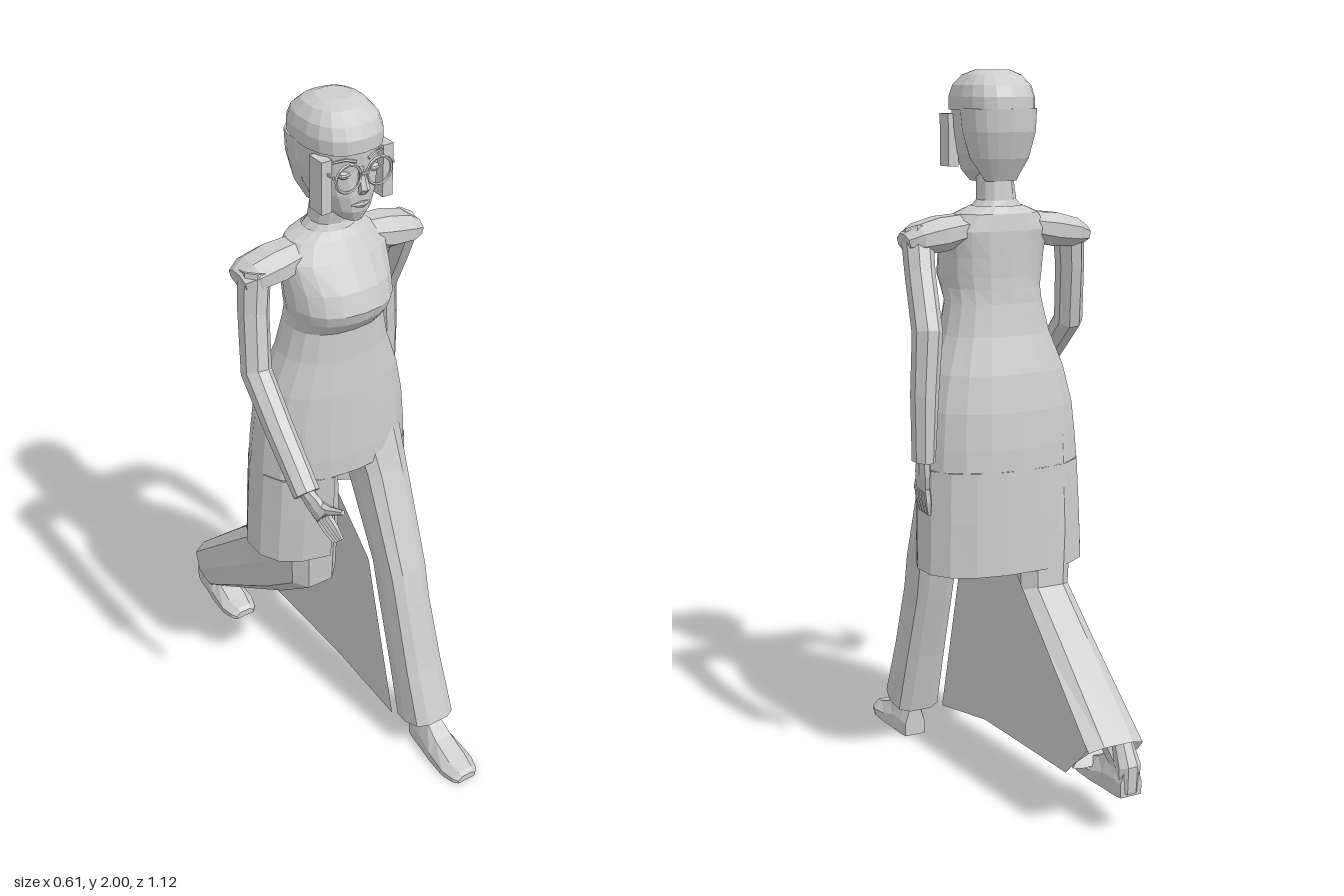
import * as THREE from 'three';

const V = (x, y, z) => new THREE.Vector3(x, y, z);
const grey = new THREE.MeshStandardMaterial({ color: 0xcccccc, flatShading: true, side: THREE.DoubleSide });
grey.name = 'light grey';

// Facetted mesh from a flat list of triangle corners
function facets(name, tris) {
  const g = new THREE.BufferGeometry().setFromPoints(tris);
  g.computeVertexNormals();
  const m = new THREE.Mesh(g, grey);
  m.name = name;
  return m;
}

// Skin a list of rings; closed rings can be capped at both ends
function loft(name, rings, { closed = true, caps = true } = {}) {
  const t = [], n = rings[0].length;
  for (let i = 0; i + 1 < rings.length; i++) {
    for (let j = 0; j < (closed ? n : n - 1); j++) {
      const k = (j + 1) % n, a = rings[i], b = rings[i + 1];
      t.push(a[j], a[k], b[k], a[j], b[k], b[j]);
    }
  }
  if (closed && caps) {
    [rings[0], rings[rings.length - 1]].forEach((r, e) => {
      const c = r.reduce((s, p) => s.add(p), V(0, 0, 0)).divideScalar(n);
      for (let j = 0; j < n; j++) {
        const k = (j + 1) % n;
        if (e) t.push(r[j], r[k], c); else t.push(r[k], r[j], c);
      }
    });
  }
  // turn the faces outward
  const o = rings[0][0];
  let vol = 0;
  for (let i = 0; i < t.length; i += 3) {
    const [a, b, c] = [0, 1, 2].map(q => t[i + q].clone().sub(o));
    vol += a.dot(b.cross(c));
  }
  if (vol < 0) for (let i = 0; i < t.length; i += 3) [t[i], t[i + 1]] = [t[i + 1], t[i]];
  return facets(name, t);
}

const pw = (v, e) => Math.sign(v) * Math.abs(v) ** e;

// Level body ring: height, half width, front z, back z; angle 0 faces the front
function ring([y, w, zf, zb], n = 18, e = 0.9, from = 0, to = 2 * Math.PI) {
  const full = to - from > 6.28, pts = [];
  for (let i = 0; i < (full ? n : n + 1); i++) {
    const a = from + (to - from) * i / n;
    pts.push(V(w * pw(Math.sin(a), e), y, (zf + zb) / 2 + (zf - zb) / 2 * pw(Math.cos(a), e)));
  }
  return pts;
}

// Trouser ring: x range, front [y, z], back [y, z]
function legRing([x0, x1, f, b], n = 10) {
  return Array.from({ length: n }, (_, i) => {
    const a = (i + 0.5) / n * 2 * Math.PI, k = (1 + pw(Math.cos(a), 0.65)) / 2;
    return V((x0 + x1) / 2 + (x1 - x0) / 2 * pw(Math.sin(a), 0.65),
      b[0] + (f[0] - b[0]) * k, b[1] + (f[1] - b[1]) * k);
  });
}

// Limb along points [x, y, z, radius across x, other radius]
function limb(name, pts, n = 8, ref = V(1, 0, 0)) {
  const p = pts.map(q => V(q[0], q[1], q[2]));
  return loft(name, p.map((c, i) => {
    const t = p[Math.min(i + 1, p.length - 1)].clone().sub(p[Math.max(i - 1, 0)]).normalize();
    const u = ref.clone().addScaledVector(t, -ref.dot(t)).normalize();
    const v = t.clone().cross(u);
    return Array.from({ length: n }, (_, j) => {
      const a = (j + 0.5) / n * 2 * Math.PI;
      return c.clone().addScaledVector(u, pts[i][3] * Math.cos(a))
        .addScaledVector(v, (pts[i][4] ?? pts[i][3]) * Math.sin(a));
    });
  }));
}

function put(name, geometry, x, y, z) {
  const m = new THREE.Mesh(geometry, grey);
  m.name = name;
  m.position.set(x, y, z);
  return m;
}

function makeHead() {
  const g = new THREE.Group();
  g.name = 'head';
  g.add(loft('face', [[1.705, .03, .135, .01], [1.735, .062, .148, -.045], [1.78, .083, .15, -.075],
    [1.84, .096, .146, -.098], [1.9, .1, .15, -.1], [1.95, .09, .13, -.08]].map(r => ring(r))));
  g.add(loft('hair', [[1.895, .103, .157, -.105], [1.93, .104, .156, -.103], [1.96, .096, .14, -.088],
    [1.987, .074, .105, -.055], [2, .045, .065, -.02]].map(r => ring(r, 18, .8))));
  g.add(loft('backHair', [[1.71, .045, -.01, -.05], [1.77, .082, .04, -.082], [1.84, .1, .07, -.103],
    [1.9, .104, .08, -.106]].map(r => ring(r))));
  g.add(loft('neck', [[1.6, .1, .075, -.075], [1.635, .075, .06, -.065], [1.66, .053, .05, -.055],
    [1.74, .045, .065, -.045]].map(r => ring(r, 12))));
  // nose and mouth
  g.add(limb('nose', [[0, 1.855, .143, .008], [0, 1.8, .16, .015, .014], [0, 1.788, .152, .013, .008]], 6));
  g.add(limb('lips', [[-.026, 1.755, .143, .003], [0, 1.757, .152, .009], [.026, 1.755, .143, .003]], 6, V(0, 1, 0)));
  for (const s of [-1, 1]) {
    const eye = put('eye', new THREE.SphereGeometry(.015, 8, 6), s * .043, 1.838, .132);
    eye.scale.set(1.2, .7, 1);
    g.add(eye);
    g.add(limb('brow', [[s * .018, 1.874, .15, .004], [s * .045, 1.882, .143, .004], [s * .075, 1.872, .122, .003]], 5, V(0, 1, 0)));
    // glasses
    g.add(put('glassesRim', new THREE.TorusGeometry(.036, .004, 5, 16), s * .045, 1.838, .157));
    g.add(put('glassesArm', new THREE.BoxGeometry(.005, .007, .09), s * .087, 1.85, .112));
    g.add(put('sideLock', new THREE.BoxGeometry(.03, .14, .055), s * .09, 1.815, .103));
  }
  g.add(put('glassesBridge', new THREE.BoxGeometry(.022, .006, .006), 0, 1.845, .162));
  return g;
}

// Hand from wrist to knuckles with four fingers and a thumb
function makeHand(name, w, k, tip, spread, thumb) {
  const g = new THREE.Group();
  g.name = name;
  g.add(limb('palm', [[...w, .018, .022], [...w.map((c, i) => (c + k[i]) / 2), .018, .036], [...k, .014, .036]], 8));
  for (let i = 0; i < 4; i++) {
    const o = i - 1.5, at = (p, f) => p.map((c, j) => c + spread[j] * o * f);
    const end = at(tip, .8);
    const mid = at(k.map((c, j) => (c + tip[j]) / 2), 1);
    g.add(limb('finger', [[...at(k, 1), .01], [...mid, .01], [...end, .006]], 5));
  }
  g.add(limb('thumb', [[...w.map((c, i) => c * .6 + k[i] * .4), .014], [...thumb.map((c, i) => (c + w[i] * .3 + k[i] * .7) / 2), .013], [...thumb, .007]], 6));
  return g;
}

function makeShoe(name, x, dy, dz) {
  const prof = [[.312, .032, .085], [.34, .038, .105], [.39, .043, .1], [.44, .05, .068], [.51, .053, .042], [.55, .042, .032], [.562, .03, .022]];
  return loft(name, prof.map(([z, w, h]) =>
    [[-1, 0], [1, 0], [1.02, .45], [.55, 1], [-.55, 1], [-1.02, .45]].map(([a, b]) => V(x + a * w, dy + b * h, z + dz))));
}

export function createModel() {
  const model = new THREE.Group();
  model.name = 'walkingWoman';
  model.add(makeHead());

  // Tunic: fitted top, then a skirt with a wide front opening
  model.add(loft('tunicTop', [[1.645, .07, .058, -.065], [1.625, .12, .075, -.078], [1.58, .155, .105, -.085],
    [1.51, .148, .152, -.085], [1.455, .145, .172, -.085], [1.425, .138, .162, -.087], [1.385, .138, .128, -.09],
    [1.3, .158, .13, -.105], [1.2, .197, .138, -.135], [1.1, .22, .143, -.155], [1, .23, .147, -.165],
    [.94, .234, .147, -.168]].map(r => ring(r)), { caps: false }));
  model.add(loft('tunicSkirt', [[.94, .234, .147, -.168], [.8, .241, .14, -.173], [.65, .246, .13, -.176]]
    .map(r => ring(r, 14, .85, .72, 2 * Math.PI - .25)), { closed: false }));

  // Cap sleeves
  for (const s of [-1, 1]) {
    model.add(limb('capSleeve', [[s * .07, 1.59, 0, .04, .055], [s * .17, 1.573, 0, .05, .07],
      [s * .235, 1.563, 0, .042, .066], [s * .272, 1.555, 0, .025, .045]], 8, V(0, 1, 0)));
  }

  // Arms: left hangs back, right swings forward
  model.add(limb('leftArm', [[.23, 1.58, .01, .042, .05], [.245, 1.47, -.045, .04, .045], [.262, 1.33, -.125, .04, .045],
    [.275, 1.17, -.132, .037, .042], [.28, .99, -.133, .03, .041]]));
  model.add(makeHand('leftHand', [.277, 1, -.125], [.268, .91, -.095], [.262, .838, -.1], [0, 0, .021], [.262, .895, -.04]));
  model.add(limb('rightArm', [[-.23, 1.58, .01, .042, .05], [-.245, 1.47, .025, .04, .045], [-.262, 1.31, .06, .04, .046],
    [-.27, 1.2, .185, .038, .041], [-.272, 1.08, .315, .036, .034]]));
  model.add(makeHand('rightHand', [-.272, 1.085, .31], [-.262, 1.04, .375], [-.245, .985, .42], [0, .012, .012], [-.245, 1.09, .44]));

  // Wide trousers in mid stride
  model.add(loft('leftTrouser', [[.01, .18, [1.02, .125], [1.02, -.06]], [.03, .18, [.9, .165], [.88, 0]],
    [.04, .175, [.6, .275], [.6, .14]], [.04, .17, [.5, .307], [.48, .175]], [.04, .178, [.3, .365], [.28, .235]],
    [.04, .187, [.13, .425], [.09, .285]]].map(r => legRing(r)), { caps: false }));
  model.add(loft('rightTrouser', [[-.19, 0, [1.02, .1], [1.02, -.14]], [-.185, 0, [.75, .11], [.75, -.165]],
    [-.17, 0, [.52, .09], [.6, -.175]], [-.175, 0, [.4, -.06], [.49, -.3]],
    [-.19, 0, [.16, -.42], [.27, -.538]]].map(r => legRing(r)), { caps: false }));

  // Cloth stretched between the legs
  const hub = V(0, .6, -.17);
  const edge = [V(.015, .8, 0), V(.04, .6, .15), V(.04, .09, .29), V(.02, .14, .03), V(0, .16, -.42), V(0, .27, -.535)];
  model.add(facets('clothBetweenLegs', edge.slice(1).flatMap((p, i) => [hub, p, edge[i]])));

  // Ankles and shoes
  model.add(limb('leftAnkle', [[.12, .06, .352, .032], [.12, .25, .32, .04]]));
  model.add(makeShoe('leftShoe', .122, 0, 0));
  model.add(limb('rightAnkle', [[-.127, .19, -.51, .032, .034], [-.12, .25, -.46, .038], [-.11, .32, -.36, .042]]));
  model.add(makeShoe('rightShoe', -.127, .12, -.86));
  model.add(limb('rightHeel', [[-.127, .13, -.525, .034, .03], [-.127, .2, -.53, .036, .03], [-.127, .25, -.5, .03]]));
  return model;
}
